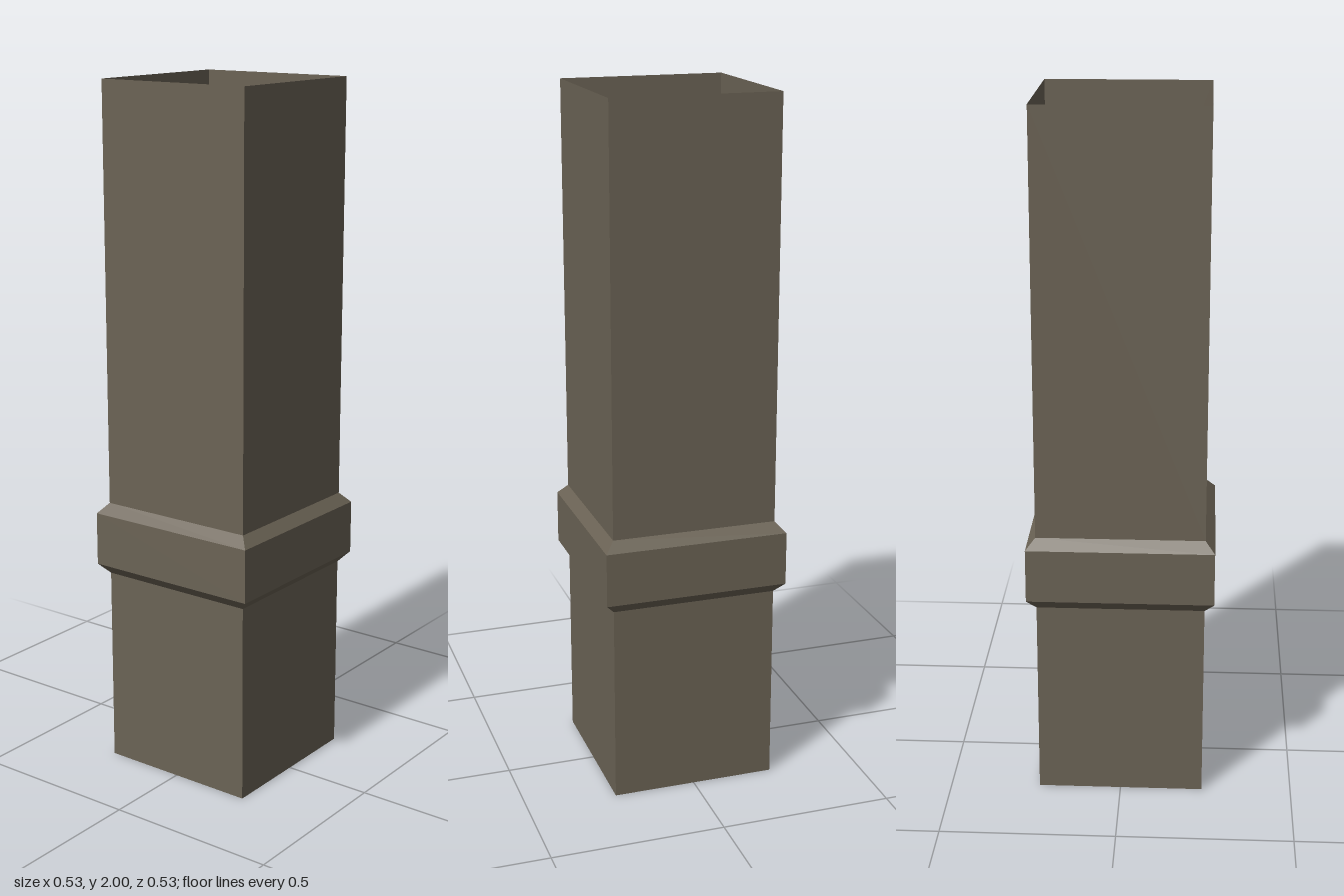
import * as THREE from 'three';

export function createModel() {
  const model = new THREE.Group();
  model.name = 'squarePipe';

  const metal = new THREE.MeshStandardMaterial({ color: 0x6b6355 });
  metal.name = 'dull brown metal';
  metal.flatShading = true;
  metal.side = THREE.DoubleSide;

  // Square open sleeve from a profile of [half width, height] points, bottom to top
  function sleeve(name, profile) {
    const points = profile.map(([half, y]) => new THREE.Vector2(half * Math.SQRT2, y));
    const mesh = new THREE.Mesh(new THREE.LatheGeometry(points, 4, Math.PI / 4), metal);
    mesh.name = name;
    model.add(mesh);
  }

  const inner = 0.239, outer = 0.266;

  sleeve('lowerShaft', [[inner, 0], [inner, 0.58]]);
  // Raised band with bevelled edges
  sleeve('collar', [[inner, 0.58], [outer, 0.61], [outer, 0.765], [inner, 0.795]]);
  sleeve('upperShaft', [[inner, 0.795], [inner, 2]]);

  return model;
}
